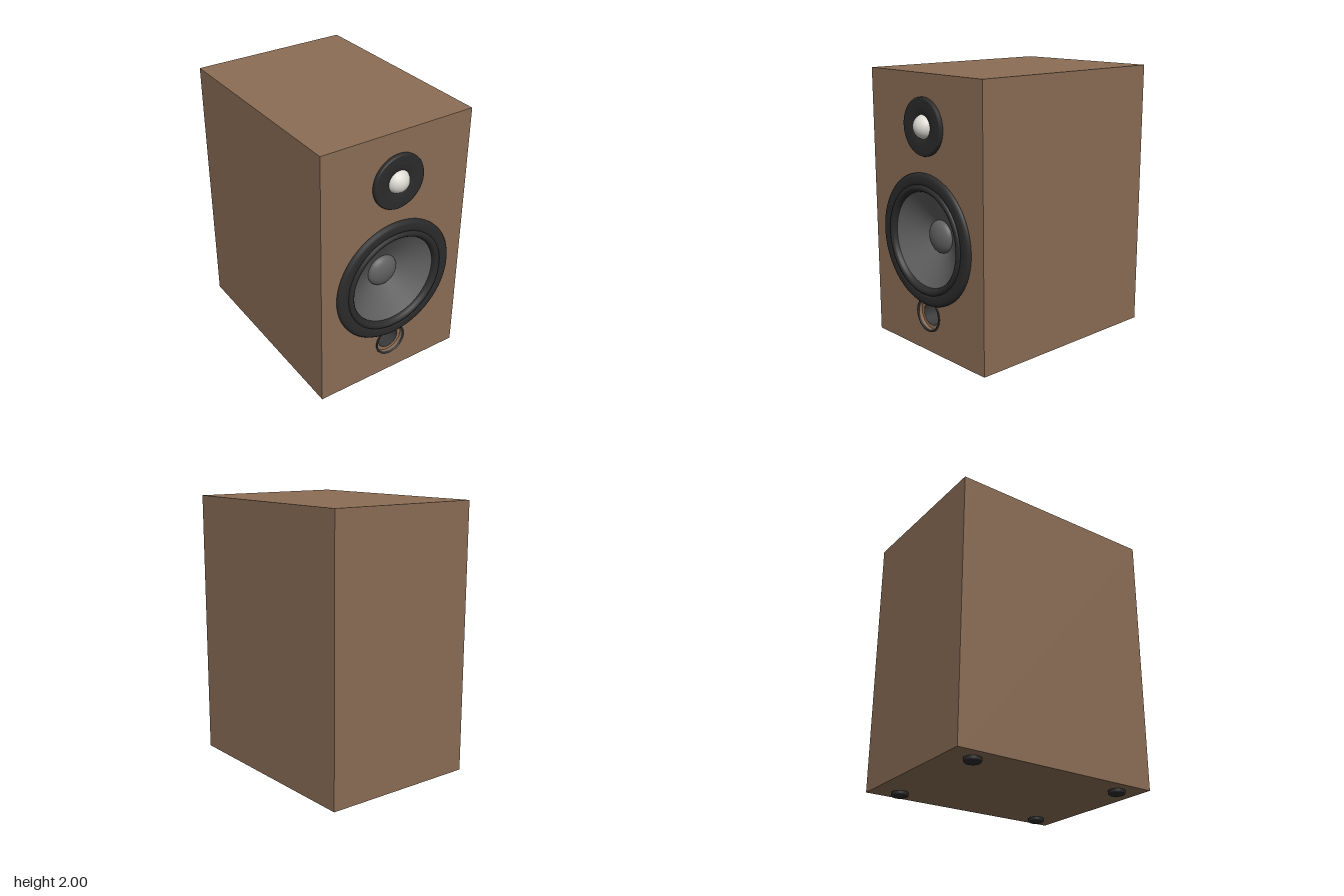
import * as THREE from 'three';

const mat = (name, color, side = THREE.FrontSide) => {
  const m = new THREE.MeshStandardMaterial({ color, side });
  m.name = name;
  return m;
};

export function createModel() {
  const wood = mat('brown wood', 0x8b6d55);
  const rubber = mat('black rubber', 0x2b2b2b);
  const coneGrey = mat('cone grey', 0x606060);
  const silver = mat('pale silver', 0xdcdad2);
  const portGrey = mat('port grey', 0x3a3a3a, THREE.DoubleSide);

  const model = new THREE.Group();
  model.name = 'bookshelfSpeaker';
  const add = (parent, name, geometry, material, x = 0, y = 0, z = 0) => {
    const mesh = new THREE.Mesh(geometry, material);
    mesh.name = name;
    mesh.position.set(x, y, z);
    parent.add(mesh);
    return mesh;
  };
  // Turned part facing forward; points are [radius, z], from outside to centre
  const turned = (points) => new THREE.LatheGeometry(
    points.map(([r, z]) => new THREE.Vector2(r, z)), 64).rotateX(Math.PI / 2);

  const W = 0.592, BOTTOM = 0.03, TOP = 2, FRONT = 0.75, BACK = -0.825;
  const wooferY = 0.853, tweeterY = 1.642, portY = 0.305;

  // Cabinet: extruded body with openings, closed by a back panel
  const outline = new THREE.Shape([
    new THREE.Vector2(-W, BOTTOM), new THREE.Vector2(W, BOTTOM),
    new THREE.Vector2(W, TOP), new THREE.Vector2(-W, TOP)]);
  for (const [y, r] of [[wooferY, 0.36], [portY, 0.113]]) {
    outline.holes.push(new THREE.Path().absarc(0, y, r, 0, Math.PI * 2, true));
  }
  const panel = 0.04;
  add(model, 'cabinet', new THREE.ExtrudeGeometry(outline,
    { depth: FRONT - BACK - panel, bevelEnabled: false, curveSegments: 32 }), wood, 0, 0, BACK + panel);
  add(model, 'backPanel', new THREE.BoxGeometry(W * 2, TOP - BOTTOM, panel), wood,
    0, (TOP + BOTTOM) / 2, BACK + panel / 2);

  // Woofer: rounded frame, raised surround, recessed cone and dust cap
  const woofer = new THREE.Group();
  woofer.name = 'woofer';
  woofer.position.set(0, wooferY, FRONT);
  model.add(woofer);
  add(woofer, 'wooferFrame', turned([[0.472, 0], [0.472, 0.012], [0.462, 0.024], [0.445, 0.03],
    [0.41, 0.031], [0.392, 0.026], [0.385, 0.018]]), rubber);
  add(woofer, 'wooferSurround', turned([[0.392, 0.015], [0.39, 0.03], [0.382, 0.038], [0.37, 0.042],
    [0.357, 0.038], [0.347, 0.027], [0.34, 0.008], [0.34, -0.005]]), rubber);
  add(woofer, 'wooferCone', turned([[0.343, 0.005], [0.23, -0.065], [0.11, -0.135]]), coneGrey);
  const cap = [];
  for (let i = 0; i <= 10; i++) {
    const a = (i / 10) * Math.PI / 2;
    cap.push([0.12 * Math.cos(a), -0.132 + 0.06 * Math.sin(a)]);
  }
  add(woofer, 'dustCap', turned(cap), coneGrey);

  // Tweeter: round plate with a silver dome
  const tweeter = new THREE.Group();
  tweeter.name = 'tweeter';
  tweeter.position.set(0, tweeterY, FRONT);
  model.add(tweeter);
  add(tweeter, 'tweeterPlate', turned([[0.2, 0], [0.2, 0.018], [0.196, 0.025], [0.188, 0.028],
    [0.13, 0.027], [0.095, 0.022], [0.08, 0.015]]), rubber);
  add(tweeter, 'tweeterDome', new THREE.SphereGeometry(0.088, 40, 20, 0, Math.PI * 2, 0, Math.PI / 2)
    .rotateX(Math.PI / 2), silver, 0, 0, -0.013);

  // Bass port: trim ring, recessed lip and open tube
  const port = new THREE.Group();
  port.name = 'bassPort';
  port.position.set(0, portY, FRONT);
  model.add(port);
  add(port, 'portTrim', turned([[0.126, 0], [0.125, 0.006], [0.113, 0.006], [0.111, -0.006]]), rubber);
  add(port, 'portLip', new THREE.RingGeometry(0.084, 0.115, 64), wood, 0, 0, -0.03);
  add(port, 'portTube', new THREE.CylinderGeometry(0.085, 0.082, 0.4, 48, 1, true)
    .rotateX(Math.PI / 2), portGrey, 0, 0, -0.228);

  // Feet
  const foot = new THREE.LatheGeometry([[0, 0], [0.05, 0], [0.058, 0.006], [0.06, 0.012], [0.06, 0.03]]
    .map(([r, y]) => new THREE.Vector2(r, y)), 32);
  for (const x of [-0.46, 0.46]) {
    for (const z of [0.56, -0.63]) add(model, 'foot', foot, rubber, x, 0, z);
  }
  return model;
}
